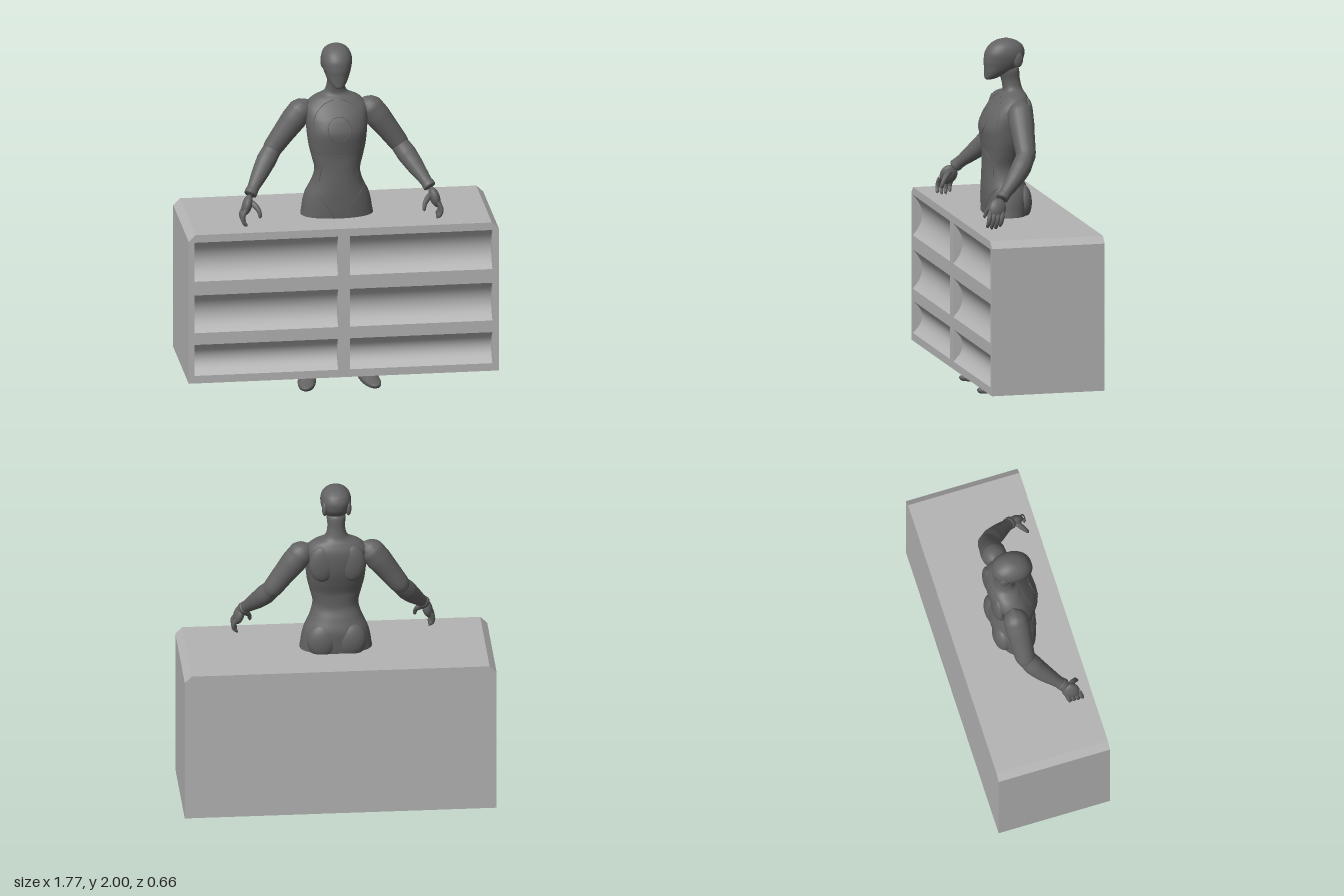
import * as THREE from 'three';
import { mergeVertices } from 'three/addons/utils/BufferGeometryUtils.js';

const cabinetGrey = new THREE.MeshStandardMaterial({ color: 0xb4b4b4 });
cabinetGrey.name = 'cabinetGrey';
const figureGrey = new THREE.MeshStandardMaterial({ color: 0x636363 });
figureGrey.name = 'figureGrey';

const V = (x, y, z) => new THREE.Vector3(x, y, z);

function part(parent, name, geometry, material, x = 0, y = 0, z = 0) {
  const mesh = new THREE.Mesh(geometry, material);
  mesh.name = name;
  mesh.position.set(x, y, z);
  parent.add(mesh);
  return mesh;
}

// weld seams and smooth the normals
function smooth(geometry) {
  geometry.deleteAttribute('uv');
  geometry.deleteAttribute('normal');
  const g = mergeVertices(geometry, 1e-5);
  g.computeVertexNormals();
  return g;
}

// section sampler: rows of [y, half width, z front, z back], bottom to top
function sections(rows) {
  const size = new THREE.CatmullRomCurve3(rows.map(r => V(r[0], r[1], 0)));
  const depth = new THREE.CatmullRomCurve3(rows.map(r => V(r[2], r[3], 0)));
  return t => {
    const a = size.getPoint(t), b = depth.getPoint(t);
    return { y: a.x, w: Math.max(a.y, 0.0005), mid: (b.x + b.y) / 2, half: Math.max((b.x - b.y) / 2, 0.0005) };
  };
}

const bulge = (v, e) => Math.sign(v) * Math.abs(v) ** e;

// stack of rounded cross-sections
function loft(rows, e = 0.9, radial = 36, steps = rows.length * 6) {
  const at = sections(rows);
  const g = new THREE.CylinderGeometry(1, 1, 1, radial, steps, true);
  const p = g.attributes.position, uv = g.attributes.uv;
  for (let i = 0; i < p.count; i++) {
    const s = at(uv.getY(i));
    p.setXYZ(i, s.w * bulge(p.getX(i), e), s.y, s.mid + s.half * bulge(p.getZ(i), e));
  }
  return smooth(g);
}

// tapered tube: points of [x, y, z, radius]
function limb(points, steps = 30, radial = 18) {
  const curve = new THREE.CatmullRomCurve3(points.map(q => V(q[0], q[1], q[2])));
  const g = new THREE.TubeGeometry(curve, steps, 1, radial);
  const p = g.attributes.position, v = V(0, 0, 0);
  for (let i = 0; i < p.count; i++) {
    const u = Math.floor(i / (radial + 1)) / steps;
    const k = curve.getUtoTmapping(u) * (points.length - 1);
    const j = Math.min(Math.floor(k), points.length - 2);
    const r = THREE.MathUtils.lerp(points[j][3], points[j + 1][3], k - j);
    const c = curve.getPointAt(u);
    v.fromBufferAttribute(p, i).sub(c).multiplyScalar(r).add(c);
    p.setXYZ(i, v.x, v.y, v.z);
  }
  return smooth(g);
}

const TORSO = [
  [0.93, 0.001, 0.03, 0.02], [0.96, 0.2, 0.14, -0.085], [1.04, 0.2, 0.148, -0.1], [1.12, 0.183, 0.15, -0.105],
  [1.2, 0.146, 0.15, -0.08], [1.27, 0.13, 0.148, -0.055], [1.35, 0.147, 0.147, -0.06], [1.42, 0.163, 0.155, -0.085],
  [1.5, 0.172, 0.163, -0.11], [1.57, 0.178, 0.138, -0.12], [1.63, 0.175, 0.095, -0.118], [1.675, 0.135, 0.055, -0.1],
  [1.71, 0.066, 0.03, -0.08], [1.76, 0.05, 0.038, -0.068], [1.83, 0.05, 0.06, -0.06], [1.87, 0.001, 0.01, 0],
];
const HEAD = [
  [1.765, 0.004, 0.125, 0.11], [1.775, 0.03, 0.136, 0.07], [1.805, 0.054, 0.138, 0.01], [1.84, 0.071, 0.139, -0.055],
  [1.88, 0.083, 0.14, -0.086], [1.92, 0.087, 0.134, -0.094], [1.96, 0.075, 0.11, -0.08], [1.985, 0.05, 0.076, -0.046],
  [1.997, 0.022, 0.038, -0.01], [2.0, 0.001, 0.014, 0.012],
];
const LEG = [
  [0, 0.001, 0.09, 0.085], [0.002, 0.046, 0.225, -0.05], [0.022, 0.052, 0.236, -0.062], [0.045, 0.048, 0.165, -0.06],
  [0.075, 0.041, 0.09, -0.056], [0.115, 0.036, 0.045, -0.054], [0.2, 0.042, 0.04, -0.06], [0.35, 0.062, 0.05, -0.09],
  [0.52, 0.056, 0.07, -0.05], [0.75, 0.085, 0.1, -0.075], [0.96, 0.09, 0.11, -0.08], [0.99, 0.001, 0.01, 0],
];

// panel line laid on the front of the torso through [x, y] points
function seam(points, closed = false) {
  const at = sections(TORSO);
  const path = points.map(([x, y]) => {
    let lo = 0, hi = 1;
    for (let i = 0; i < 24; i++) {
      const m = (lo + hi) / 2;
      if (at(m).y < y) lo = m; else hi = m;
    }
    const s = at(lo), k = Math.min(Math.abs(x) / s.w, 1) ** (1 / 0.9);
    return V(x, y, s.mid + s.half * Math.sqrt(1 - k * k) ** 0.9);
  });
  return new THREE.TubeGeometry(new THREE.CatmullRomCurve3(path, closed), 48, 0.0025, 5, closed);
}

function cabinet() {
  const group = new THREE.Group();
  group.name = 'cabinet';
  const outline = () => new THREE.Shape([
    [-0.885, 0.115], [0.885, 0.115], [0.885, 0.962], [0.845, 1], [-0.845, 1], [-0.885, 0.962],
  ].map(([x, y]) => new THREE.Vector2(x, y)));
  const solid = (shape, depth) => new THREE.ExtrudeGeometry(shape, { depth, bevelEnabled: false });
  part(group, 'cabinetBody', solid(outline(), 0.58), cabinetGrey, 0, 0, -0.33);

  // front frame with two columns of three scooped bays
  const frame = outline();
  for (const [x0, x1] of [[-0.853, -0.032], [0.036, 0.848]]) {
    for (const [y0, y1] of [[0.16, 0.345], [0.415, 0.64], [0.722, 0.955]]) {
      frame.holes.push(new THREE.Path([[x0, y0], [x0, y1], [x1, y1], [x1, y0]].map(q => new THREE.Vector2(...q))));
      const h = y1 - y0;
      const scoop = new THREE.PlaneGeometry(x1 - x0, h, 1, 16);
      const p = scoop.attributes.position;
      for (let i = 0; i < p.count; i++) p.setZ(i, -0.055 * (1 - (2 * p.getY(i) / h) ** 2));
      scoop.computeVertexNormals();
      part(group, 'bayScoop', scoop, cabinetGrey, (x0 + x1) / 2, (y0 + y1) / 2, 0.33);
    }
  }
  part(group, 'frontFrame', solid(frame, 0.08), cabinetGrey, 0, 0, 0.25);
  return group;
}

function arm(s) {
  const group = new THREE.Group();
  group.name = s > 0 ? 'leftArm' : 'rightArm';
  const add = (name, pts, steps, radial) =>
    part(group, name, limb(pts.map(([x, y, z, r]) => [s * x, y, z, r]), steps, radial), figureGrey);
  add('upperArm', [[0.158, 1.665, -0.02, 0.001], [0.17, 1.645, -0.02, 0.045], [0.195, 1.61, -0.018, 0.071],
    [0.24, 1.55, -0.015, 0.073], [0.3, 1.47, -0.012, 0.064], [0.362, 1.385, -0.008, 0.056], [0.39, 1.35, 0.005, 0.04], [0.4, 1.335, 0.01, 0.001]]);
  add('forearm', [[0.345, 1.41, -0.01, 0.001], [0.36, 1.385, -0.006, 0.052], [0.4, 1.33, 0.028, 0.057], [0.44, 1.275, 0.075, 0.05],
    [0.485, 1.215, 0.135, 0.036], [0.51, 1.18, 0.17, 0.031], [0.514, 1.175, 0.174, 0.001]]);
  add('wristCuff', [[0.497, 1.2, 0.15, 0.001], [0.499, 1.197, 0.153, 0.036], [0.513, 1.176, 0.174, 0.037], [0.515, 1.173, 0.176, 0.001]], 12);
  // palm is wider along z than across
  const palm = part(group, 'palm', new THREE.SphereGeometry(1, 20, 14), figureGrey, s * 0.535, 1.125, 0.205);
  palm.scale.set(0.029, 0.06, 0.05);
  palm.rotation.set(-0.35, 0, s * 0.3);
  // four curled fingers and a thumb
  for (let i = 0; i < 4; i++) {
    const z = 0.178 + i * 0.024, drop = [0.012, 0, 0, 0.008][i];
    add('finger', [[0.545, 1.11, z, 0.013], [0.564, 1.075, z + 0.008, 0.014], [0.563, 1.045, z + 0.014, 0.012],
      [0.549, 1.018 + drop, z + 0.016, 0.01], [0.542, 1.009 + drop, z + 0.015, 0.001]], 14, 8);
  }
  add('thumb', [[0.52, 1.145, 0.2, 0.016], [0.492, 1.125, 0.228, 0.017], [0.473, 1.1, 0.25, 0.013],
    [0.468, 1.07, 0.262, 0.01], [0.468, 1.06, 0.264, 0.001]], 14, 8);
  return group;
}

function figure() {
  const group = new THREE.Group();
  group.name = 'figure';
  part(group, 'torso', loft(TORSO), figureGrey);
  part(group, 'head', loft(HEAD), figureGrey);

  for (const s of [1, -1]) {
    group.add(arm(s));
    // leg and foot lean inward towards the hip, toes turned out
    const leg = loft(LEG);
    leg.rotateY(s * 0.16);
    const p = leg.attributes.position;
    for (let i = 0; i < p.count; i++) p.setX(i, p.getX(i) + s * (0.165 - 0.065 * p.getY(i)));
    leg.computeVertexNormals();
    part(group, 'legAndFoot', leg, figureGrey);

    const buttock = part(group, 'buttock', new THREE.SphereGeometry(1, 24, 16), figureGrey, s * 0.08, 1.07, -0.058);
    buttock.scale.set(0.09, 0.105, 0.056);
    const blade = part(group, 'shoulderBlade', new THREE.SphereGeometry(1, 20, 14), figureGrey, s * 0.085, 1.56, -0.085);
    blade.scale.set(0.075, 0.11, 0.036);
    const ear = part(group, 'earPod', new THREE.SphereGeometry(1, 20, 12), figureGrey, s * 0.068, 1.885, -0.04);
    ear.scale.set(0.016, 0.045, 0.03);

    // hip, waist and collar panel lines
    part(group, 'hipSeam', seam([[s * 0.03, 1.0], [s * 0.075, 1.08], [s * 0.13, 1.15], [s * 0.15, 1.18]]), figureGrey);
    part(group, 'waistSeam', seam([[0, 1.37], [s * 0.06, 1.35], [s * 0.1, 1.29], [s * 0.11, 1.22]]), figureGrey);
    part(group, 'collarSeam', seam([[s * 0.02, 1.68], [s * 0.08, 1.655], [s * 0.13, 1.6], [s * 0.145, 1.53]]), figureGrey);
  }
  // round chest panel line
  const ring = [];
  for (let i = 0; i < 20; i++) ring.push([0.066 * Math.cos(i * Math.PI / 10), 1.53 + 0.066 * Math.sin(i * Math.PI / 10)]);
  part(group, 'chestRing', seam(ring, true), figureGrey);
  return group;
}

export function createModel() {
  const model = new THREE.Group();
  model.name = 'figureBehindCounter';
  model.add(cabinet(), figure());
  return model;
}
